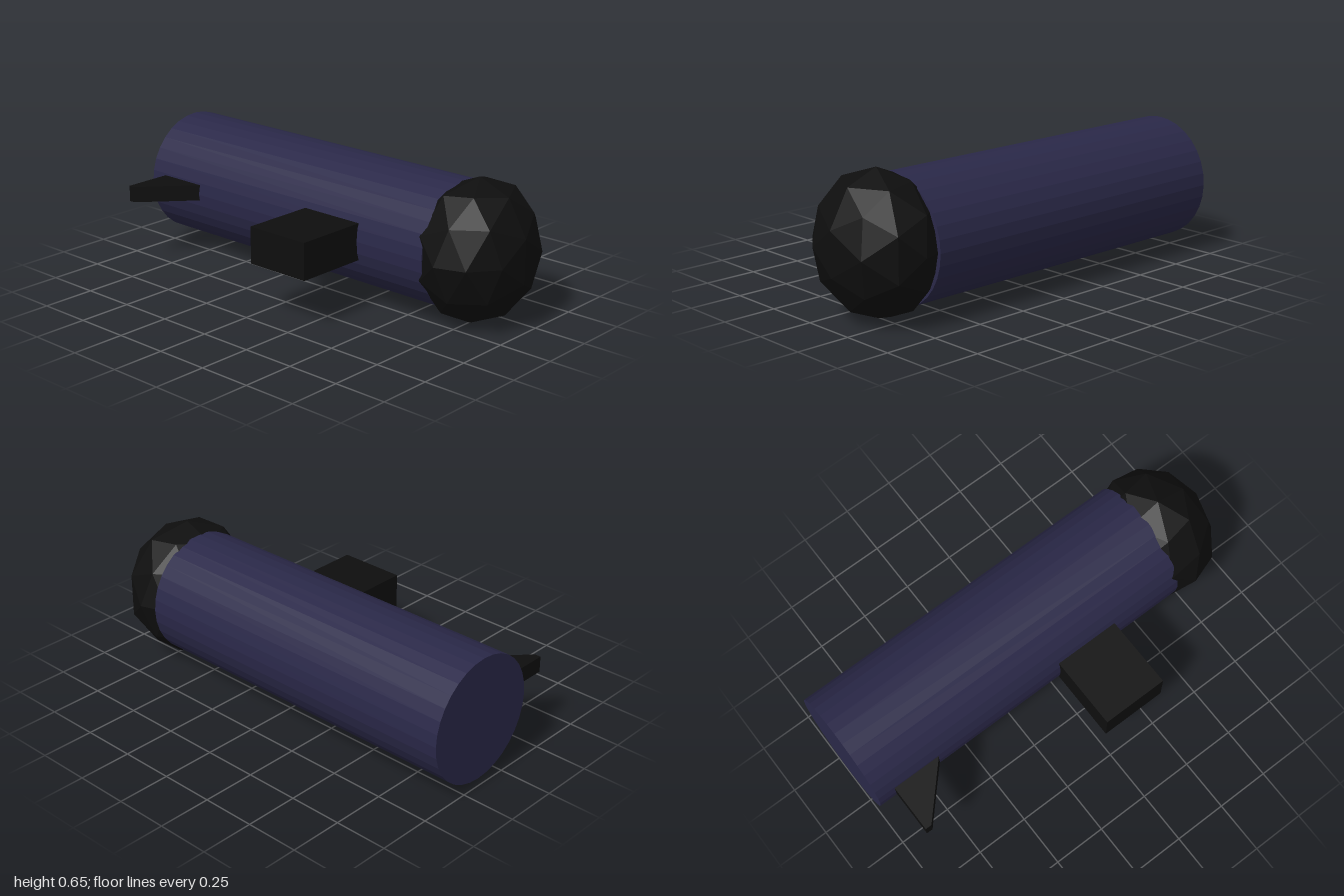
import * as THREE from 'three';

export function createModel() {
  const group = new THREE.Group();
  const bodyMat = new THREE.MeshStandardMaterial({ color: 0x2a2848, flatShading: true });
  const darkMat = new THREE.MeshStandardMaterial({ color: 0x0e0e0e, flatShading: true });

  const add = (name, geometry, material, x, y, z) => {
    const mesh = new THREE.Mesh(geometry, material);
    mesh.name = name;
    mesh.position.set(x, y, z);
    group.add(mesh);
    return mesh;
  };

  // Main tube, lying along x
  const tube = new THREE.CylinderGeometry(0.288, 0.288, 1.67, 32);
  tube.rotateZ(Math.PI / 2);
  add('body', tube, bodyMat, -0.165, 0.328, -0.16);

  // Faceted, flattened ball at the end of the tube
  const ball = new THREE.IcosahedronGeometry(1, 1);
  ball.rotateY(THREE.MathUtils.degToRad(-58.28));
  ball.scale(0.258, 0.326, 0.309);
  add('endBall', ball, darkMat, 0.755, 0.328, -0.152);

  // Block grip on the front side
  add('grip', new THREE.BoxGeometry(0.315, 0.17, 0.42), darkMat, 0.152, 0.325, 0.25);

  // Tapered fin: outline in x/z, extruded upwards
  const outline = new THREE.Shape([
    new THREE.Vector2(-0.915, -0.08),
    new THREE.Vector2(-0.655, -0.1),
    new THREE.Vector2(-0.885, -0.353),
    new THREE.Vector2(-0.915, -0.353),
  ]);
  const fin = new THREE.ExtrudeGeometry(outline, { depth: 0.075, bevelEnabled: false });
  fin.rotateX(-Math.PI / 2);
  add('fin', fin, darkMat, 0, 0.3, 0);

  return group;
}
